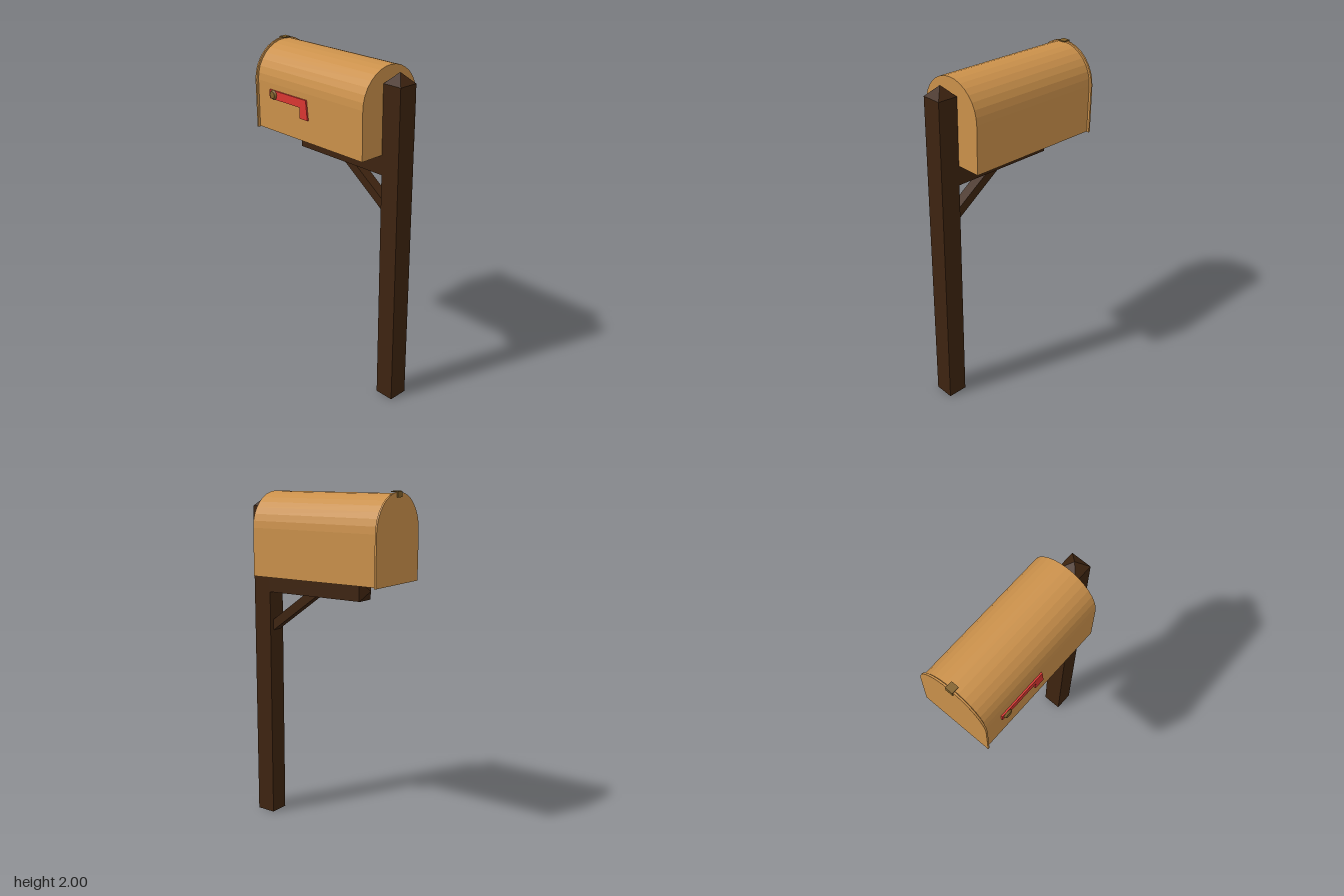
import * as THREE from 'three';

const paint = (name, color) => {
  const m = new THREE.MeshStandardMaterial({ color });
  m.name = name;
  return m;
};

export function createModel() {
  const group = new THREE.Group();
  const tan = paint('tan', 0xcb914b);
  const wood = paint('dark wood', 0x3e2410);
  const brass = paint('brass', 0x82622c);
  const red = paint('red', 0xdb3732);
  const Z = -0.006; // centre plane of post and box

  const add = (name, geometry, material, x = 0, y = 0, z = 0) => {
    const mesh = new THREE.Mesh(geometry, material);
    mesh.name = name;
    mesh.position.set(x, y, z);
    group.add(mesh);
    return mesh;
  };
  const extrude = (shape, depth) =>
    new THREE.ExtrudeGeometry(shape, { depth, bevelEnabled: false, curveSegments: 8 });
  const polygon = (pts) => new THREE.Shape(pts.map(([x, y]) => new THREE.Vector2(x, y)));

  // Arched slab running along x from x0 to x1
  const arch = (r, bottom, spring, x0, x1) => {
    const s = new THREE.Shape();
    s.moveTo(-r, bottom);
    s.lineTo(r, bottom);
    s.lineTo(r, spring);
    s.absarc(0, spring, r, 0, Math.PI, false);
    s.closePath();
    return extrude(s, x1 - x0).rotateY(Math.PI / 2).translate(x0, 0, Z);
  };
  // Square pyramid cap with its base at the origin
  const pyramid = (w, h) =>
    new THREE.ConeGeometry(w / Math.SQRT2, h, 4, 1, true).rotateY(Math.PI / 4).translate(0, h / 2, 0).toNonIndexed();
  const cap = (w, h) => {
    const g = pyramid(w, h);
    g.computeVertexNormals();
    return g;
  };

  // Post with pointed top
  add('post', new THREE.BoxGeometry(0.118, 1.9, 0.118), wood, 0.424, 0.95, Z);
  add('postCap', cap(0.118, 0.06), wood, 0.424, 1.9, Z);

  // Support arm with pointed end, and diagonal brace
  add('arm', new THREE.BoxGeometry(0.64, 0.11, 0.118), wood, 0.05, 1.455, Z);
  const tip = add('armTip', cap(0.114, 0.04), wood, -0.27, 1.455, Z);
  tip.rotation.z = Math.PI / 2;
  add('brace', extrude(polygon([[0.04, 1.4], [0.365, 1.165], [0.365, 1.23], [0.13, 1.4]]), 0.06),
    wood, 0, 0, Z - 0.03);

  // Arched box and slightly larger door
  add('box', arch(0.203, 1.51, 1.785, -0.465, 0.361), tan);
  add('door', arch(0.214, 1.505, 1.781, -0.479, -0.469), tan);

  // Bent latch over the top of the door
  add('latchTop', new THREE.BoxGeometry(0.043, 0.006, 0.044), brass, -0.4635, 1.997, Z);
  add('latchFront', new THREE.BoxGeometry(0.005, 0.03, 0.044), brass, -0.4825, 1.982, Z);

  // Signal flag and its pivot
  add('flag', extrude(polygon([
    [-0.36, 1.7], [-0.11, 1.7], [-0.11, 1.638], [-0.048, 1.638], [-0.06, 1.75], [-0.36, 1.75],
  ]), 0.01), red, 0, 0, 0.196);
  const pivot = new THREE.CylinderGeometry(0.02, 0.028, 0.011, 12).rotateX(Math.PI / 2);
  add('flagPivot', pivot, brass, -0.325, 1.727, 0.2125);

  return group;
}
